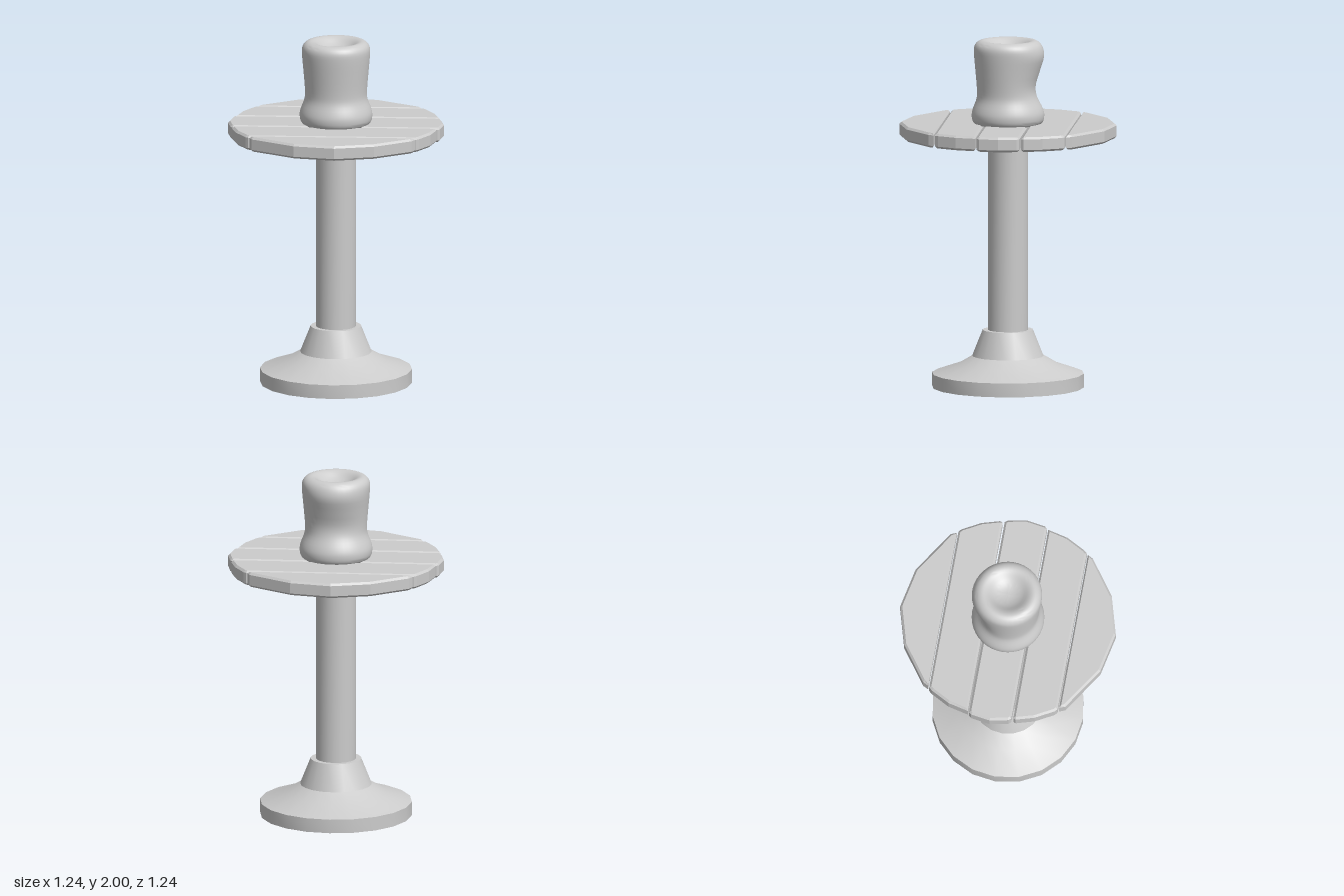
import * as THREE from 'three';
import { toCreasedNormals } from 'three/addons/utils/BufferGeometryUtils.js';

const material = new THREE.MeshStandardMaterial({ color: 0xcccccc });
const vectors = (points) => points.map(([x, y]) => new THREE.Vector2(x, y));

function addMesh(parent, name, geometry) {
  const mesh = new THREE.Mesh(geometry, material);
  mesh.name = name;
  parent.add(mesh);
  return mesh;
}

// Bevelled board from an outline given in x and z
function plankGeometry(outline) {
  const top = 1.525, thickness = 0.085, bevel = 0.012;
  const geometry = new THREE.ExtrudeGeometry(new THREE.Shape(vectors(outline)), {
    depth: thickness - 2 * bevel, bevelThickness: bevel, bevelSize: bevel,
    bevelOffset: -bevel, bevelSegments: 1,
  });
  geometry.rotateX(Math.PI / 2);
  geometry.translate(0, top - bevel, 0);
  return geometry;
}

// Lumpy rounded seat with a dished top
function cushionGeometry() {
  const control = [[0.19, 1.52], [0.204, 1.54], [0.208, 1.575], [0.2, 1.61], [0.18, 1.665],
    [0.178, 1.72], [0.186, 1.82], [0.194, 1.91], [0.194, 1.96], [0.178, 1.988], [0.15, 2],
    [0.12, 1.992], [0.08, 1.965], [0.04, 1.95], [0, 1.946]];
  const curve = new THREE.SplineCurve(vectors(control));
  const profile = curve.getPoints(42);
  profile[profile.length - 1].x = 0;
  const geometry = new THREE.LatheGeometry(profile, 40);
  const pos = geometry.attributes.position;
  for (let i = 0; i < pos.count; i++) {
    const x = pos.getX(i), y = pos.getY(i), z = pos.getZ(i);
    const r = Math.hypot(x, z);
    if (r < 0.001) continue;
    const back = Math.max(0, -z / r) ** 2;
    const waist = Math.exp(-(((y - 1.73) / 0.075) ** 2));
    const rim = Math.exp(-(((y - 1.91) / 0.05) ** 2)) * Math.min(1, r / 0.18);
    // Dent in the back below a slightly swollen rim
    const scale = 1 + back * (0.07 * rim - 0.12 * waist);
    pos.setXYZ(i, x * scale, y, z * scale);
  }
  return toCreasedNormals(geometry, 1.2);
}

export function createModel() {
  const model = new THREE.Group();

  // Stepped foot
  const foot = new THREE.LatheGeometry(vectors([[0, 0], [0.435, 0], [0.435, 0.08],
    [0.29, 0.13], [0.205, 0.18], [0.145, 0.33], [0, 0.33]]), 20);
  addMesh(model, 'foot', toCreasedNormals(foot, 0.42));

  // Post
  const post = new THREE.CylinderGeometry(0.115, 0.115, 1.14, 20);
  post.translate(0, 0.88, 0);
  addMesh(model, 'post', toCreasedNormals(post, 0.6));

  // Round top of five planks, the front two being the back two turned half round
  const top = new THREE.Group();
  top.name = 'plankTop';
  model.add(top);
  const endPlank = [[-0.47, -0.382], [-0.452, -0.415], [-0.245, -0.56], [-0.02, -0.622],
    [0.215, -0.573], [0.462, -0.412], [0.475, -0.378]];
  const sidePlank = [[-0.582, -0.133], [-0.553, -0.25], [-0.495, -0.355], [-0.478, -0.375],
    [0.484, -0.371], [0.5, -0.357], [0.558, -0.25], [0.588, -0.145], [0.58, -0.131]];
  const middlePlank = [[-0.588, -0.125], [-0.6, -0.11], [-0.618, 0], [-0.598, 0.105], [-0.585, 0.12],
    [0.588, 0.125], [0.6, 0.11], [0.618, 0], [0.598, -0.105], [0.585, -0.12]];
  addMesh(top, 'middlePlank', plankGeometry(middlePlank));
  for (const [side, angle] of [['back', 0], ['front', Math.PI]]) {
    addMesh(top, side + 'EndPlank', plankGeometry(endPlank)).rotation.y = angle;
    addMesh(top, side + 'SidePlank', plankGeometry(sidePlank)).rotation.y = angle;
  }

  addMesh(model, 'cushion', cushionGeometry());
  return model;
}
